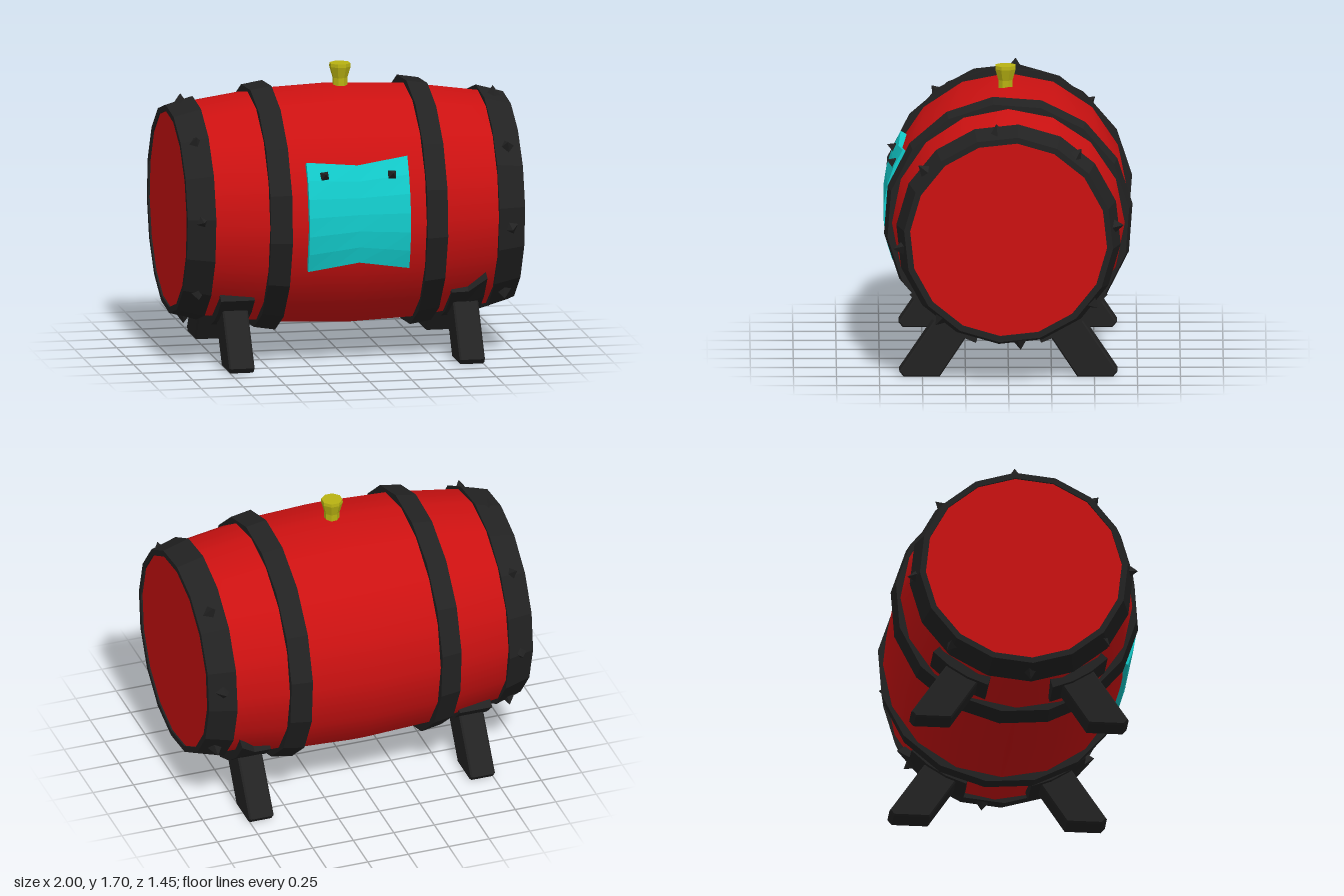
import * as THREE from 'three';

const CY = 0.865; // height of the barrel axis
const rad = THREE.MathUtils.degToRad;
const material = (color, flatShading = true) =>
  new THREE.MeshStandardMaterial({ color, flatShading });

const red = material(0xcc1111, false);
const redFlat = material(0xcc1111);
const iron = material(0x222222);
const cyan = material(0x12cccc);
const brass = material(0xb8b212);

function add(parent, name, geometry, mat) {
  const mesh = new THREE.Mesh(geometry, mat);
  mesh.name = name;
  parent.add(mesh);
  return mesh;
}

// Revolve [x, radius] pairs about the barrel axis; startDeg is measured from straight up.
function revolve(profile, startDeg) {
  const pts = profile.map(([x, r]) => new THREE.Vector2(r, x));
  return new THREE.LatheGeometry(pts, 16, rad(startDeg - 90))
    .rotateZ(-Math.PI / 2).translate(0, CY, 0);
}

// Box wrapped round the barrel; angleAt(x, v) gives degrees from straight up, v runs 0 (bottom) to 1 (top).
function wrappedBox(x0, x1, r0, r1, angleAt, nx, ny) {
  const geo = new THREE.BoxGeometry(x1 - x0, 1, 1, nx, ny, 1);
  const p = geo.attributes.position;
  for (let i = 0; i < p.count; i++) {
    const x = p.getX(i) + (x0 + x1) / 2;
    const a = rad(angleAt(x, p.getY(i) + 0.5));
    const r = p.getZ(i) > 0 ? r1 : r0;
    p.setXYZ(i, x, CY + r * Math.cos(a), r * Math.sin(a));
  }
  geo.computeVertexNormals();
  return geo;
}

// Four-sided stud pointing outward from the barrel axis
function stud(parent, x, deg, r, twist = 0) {
  const geo = new THREE.ConeGeometry(0.05, 0.07, 4).rotateY(twist)
    .translate(0, r + 0.02, 0).rotateX(rad(deg)).translate(x, CY, 0);
  add(parent, 'stud', geo, iron);
}

export function createModel() {
  const model = new THREE.Group();
  model.name = 'barrel';

  // Bulging body and flat ends
  add(model, 'body', revolve([
    [-0.985, 0.585], [-0.84, 0.632], [-0.42, 0.692], [0, 0.71],
    [0.42, 0.692], [0.84, 0.632], [0.985, 0.585],
  ], 0), red);
  for (const s of [-1, 1]) {
    const lid = revolve(s > 0 ? [[0.99, 0.59], [0.99, 0]] : [[-0.99, 0], [-0.99, 0.59]], -5);
    add(model, 'endLid', lid, redFlat);
  }

  // Hoops: narrow pair at the waist, wide pair at the ends
  for (const s of [-1, 1]) {
    const ring = (pts) => {
      const placed = pts.map(([x, r]) => [s * x, r]);
      return s > 0 ? placed : placed.reverse();
    };
    add(model, 'middleHoop', revolve(ring([
      [0.4, 0.66], [0.4, 0.728], [0.525, 0.708], [0.525, 0.65], [0.4, 0.66],
    ]), 7), iron);
    add(model, 'endHoop', revolve(ring([
      [0.84, 0.6], [0.84, 0.655], [1, 0.61], [1, 0.575], [0.84, 0.575], [0.84, 0.6],
    ]), -5), iron);
    for (let i = 0; i < 8; i++) stud(model, s * 0.915, (s > 0 ? 6 : -4) + i * 45, 0.62, 0.2 * (i % 3));
  }

  // Curved sign with notched top and bottom edges
  const panelAngle = (x, v) => {
    const dip = 1 - Math.abs(x) / 0.3;
    const top = 58.5 - 2.5 * x + 3 * dip;
    const bottom = 111.7 - 4 * dip;
    return THREE.MathUtils.lerp(bottom, top, v);
  };
  add(model, 'signPanel', wrappedBox(-0.3, 0.3, 0.67, 0.725, panelAngle, 4, 6), cyan);
  stud(model, -0.2, 66, 0.715, 0.9);
  stud(model, 0.2, 66.5, 0.715, 0.7);

  // Splayed legs, each with a curved bracket against the barrel
  const outline = new THREE.Shape([
    [0.40, 0], [0.61, 0], [0.635, 0.03], [0.42, 0.35], [0.34, 0.37], [0.235, 0.25], [0.39, 0.015],
  ].map(([z, y]) => new THREE.Vector2(z, y)));
  for (const front of [true, false]) {
    const pair = new THREE.Group();
    pair.name = front ? 'frontLegs' : 'backLegs';
    if (!front) pair.rotation.y = Math.PI;
    for (const s of [-1, 1]) {
      const leg = new THREE.ExtrudeGeometry(outline, {
        depth: 0.13, bevelEnabled: true, bevelThickness: 0.01, bevelSize: 0.008,
        bevelOffset: -0.008, bevelSegments: 1,
      }).rotateY(-Math.PI / 2).translate(s * 0.683 + 0.065, 0, 0);
      add(pair, 'leg', leg, iron);
      // The brackets at the left end rise to a point at their outer corner
      const peaked = (s > 0) === front;
      const bracketAngle = (x, v) => {
        const rise = peaked ? 9 * Math.max(0, (Math.abs(x) - 0.68) / 0.1) : 0;
        return THREE.MathUtils.lerp(164, 132 - rise, v);
      };
      add(pair, 'legBracket',
        wrappedBox(s * 0.683 - 0.1, s * 0.683 + 0.1, 0.6, 0.685, bracketAngle, 2, 3), iron);
    }
    model.add(pair);
  }

  // Flared stopper on top
  const stopper = new THREE.LatheGeometry([
    [0, 1.5], [0.045, 1.5], [0.045, 1.61], [0.064, 1.675], [0.062, 1.695], [0, 1.695],
  ].map(([r, y]) => new THREE.Vector2(r, y)), 8, rad(22.5)).translate(0.02, 0, 0.015);
  add(model, 'stopper', stopper, brass);

  return model;
}
